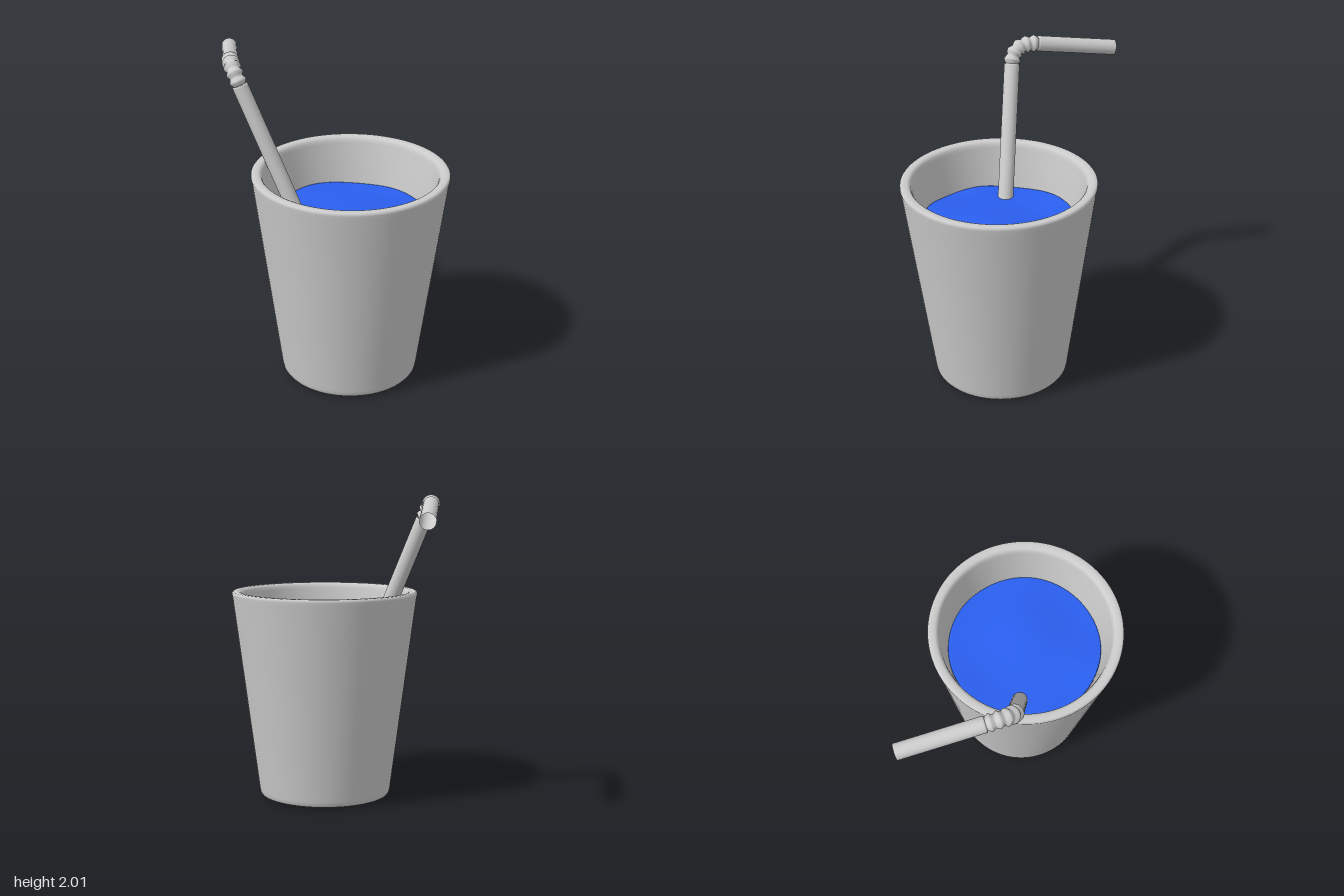
import * as THREE from 'three';

const CUP_Z = 0.285;
const V2 = (p) => new THREE.Vector2(p[0], p[1]);

function named(name, geometry, material) {
  const mesh = new THREE.Mesh(geometry, material);
  mesh.name = name;
  return mesh;
}

// Tapered cup with rounded foot and rim, hollow inside
function cupGeometry() {
  const profile = [
    [0, 0], [0.3, 0.004], [0.39, 0.009], [0.412, 0.01], [0.424, 0.014], [0.432, 0.026], [0.437, 0.05],
    [0.52, 0.68], [0.605, 1.325], [0.61, 1.35], [0.608, 1.362], [0.6, 1.369], [0.585, 1.37],
    [0.565, 1.369], [0.553, 1.364], [0.544, 1.352], [0.538, 1.33], [0.49, 1.06],
    [0.365, 0.13], [0.355, 0.1], [0.33, 0.085], [0, 0.08],
  ];
  return new THREE.LatheGeometry(profile.map(V2), 96);
}

// Liquid body filling the cup, with a gently rippled surface
function liquidGeometry() {
  const level = 1.075, radius = 0.492;
  const profile = [[0, 0.082], [0.33, 0.088], [0.36, 0.13], [0.484, 1.04], [0.49, 1.067], [0.488, 1.073]];
  for (let i = 24; i >= 0; i--) profile.push([0.482 * i / 24, level]);
  const geometry = new THREE.LatheGeometry(profile.map(V2), 96);
  const pos = geometry.attributes.position;
  for (let i = 0; i < pos.count; i++) {
    const x = pos.getX(i), y = pos.getY(i), z = pos.getZ(i);
    if (y < 1) continue;
    const ripple = 0.012 * Math.sin(7 * x + 3 * z + 0.6) * Math.cos(6 * z - 2 * x)
      + 0.008 * Math.sin(9 * z - 4 * x + 1);
    const swell = 0.02 * Math.exp(-((x + 0.38) ** 2 + (z - 0.22) ** 2) / 0.03);
    pos.setY(i, y + ripple + swell);
  }
  geometry.computeVertexNormals();
  // Close the shading seam where the lathe meets itself
  const normal = geometry.attributes.normal, n = profile.length, last = 96 * n;
  for (let j = 0; j < n; j++) {
    const a = new THREE.Vector3().fromBufferAttribute(normal, j);
    a.add(new THREE.Vector3().fromBufferAttribute(normal, last + j)).normalize();
    normal.setXYZ(j, a.x, a.y, a.z);
    normal.setXYZ(last + j, a.x, a.y, a.z);
  }
  return geometry;
}

// Skin a list of {point, tangent, radius} rings that all bend in one plane
function skinRings(rings, side, segments = 32) {
  const positions = [], indices = [];
  rings.forEach(({ point, tangent, radius }, i) => {
    const up = new THREE.Vector3().crossVectors(tangent, side);
    for (let j = 0; j <= segments; j++) {
      const a = (j / segments) * Math.PI * 2;
      const p = point.clone()
        .addScaledVector(side, Math.cos(a) * radius)
        .addScaledVector(up, -Math.sin(a) * radius);
      positions.push(p.x, p.y, p.z);
      if (i && j) {
        const b = i * (segments + 1) + j, c = b - segments - 1;
        indices.push(c - 1, b - 1, c, b - 1, b, c);
      }
    }
  });
  const geometry = new THREE.BufferGeometry();
  geometry.setAttribute('position', new THREE.Float32BufferAttribute(positions, 3));
  geometry.setIndex(indices);
  geometry.computeVertexNormals();
  return geometry;
}

// Bendy straw: long stem, pleated elbow, short open mouthpiece
function createStraw(material) {
  const foot = new THREE.Vector3(0.03, 0.12, 0.335);
  const bendStart = new THREE.Vector3(-0.51, 1.85, -0.205);
  const corner = new THREE.Vector3(-0.549, 1.975, -0.244);
  const bendEnd = new THREE.Vector3(-0.488, 1.95, -0.395);
  const tip = new THREE.Vector3(-0.29, 1.868, -0.882);
  const stemDir = corner.clone().sub(foot).normalize();
  const tipDir = tip.clone().sub(corner).normalize();
  const side = new THREE.Vector3().crossVectors(stemDir, tipDir).normalize();
  const R = 0.05;

  // Straight length with slightly rounded shoulders at the elbow
  const straight = (from, to, dir, shoulderAtStart) => {
    const length = from.distanceTo(to);
    const stops = [[0, R], [0.012, R], [length - 0.012, R], [length, R]];
    if (shoulderAtStart) stops.splice(0, 1, [0, 0.042], [0.003, 0.048]);
    else stops.splice(3, 1, [length - 0.003, 0.048], [length, 0.042]);
    return skinRings(stops.map(([d, radius]) => ({
      point: from.clone().addScaledVector(dir, d), tangent: dir, radius,
    })), side);
  };

  // Pleats: radius zigzags between ridge and groove along the elbow
  const curve = new THREE.QuadraticBezierCurve3(bendStart, corner, bendEnd);
  const pleats = 5, steps = pleats * 8, rings = [];
  for (let i = 0; i <= steps; i++) {
    const u = i / steps;
    const wave = Math.abs(((u * pleats) % 1) * 2 - 1);
    rings.push({
      point: curve.getPointAt(u),
      tangent: curve.getTangentAt(u),
      radius: 0.055 - 0.015 * wave,
    });
  }

  const straw = new THREE.Group();
  straw.name = 'straw';
  straw.add(
    named('strawStem', straight(foot, bendStart, stemDir, false), material),
    named('strawElbow', skinRings(rings, side), material),
    named('strawMouthpiece', straight(bendEnd, tip, tipDir, true), material),
  );
  return straw;
}

export function createModel() {
  const grey = new THREE.MeshStandardMaterial({ color: 0xcccccc });
  const thinGrey = new THREE.MeshStandardMaterial({ color: 0xcccccc, side: THREE.DoubleSide });
  const blue = new THREE.MeshStandardMaterial({ color: 0x2a5ff0 });

  const model = new THREE.Group();
  model.name = 'cupWithStraw';
  const cup = named('cup', cupGeometry(), grey);
  const liquid = named('liquid', liquidGeometry(), blue);
  cup.position.z = liquid.position.z = CUP_Z;
  model.add(cup, liquid, createStraw(thinGrey));
  return model;
}
